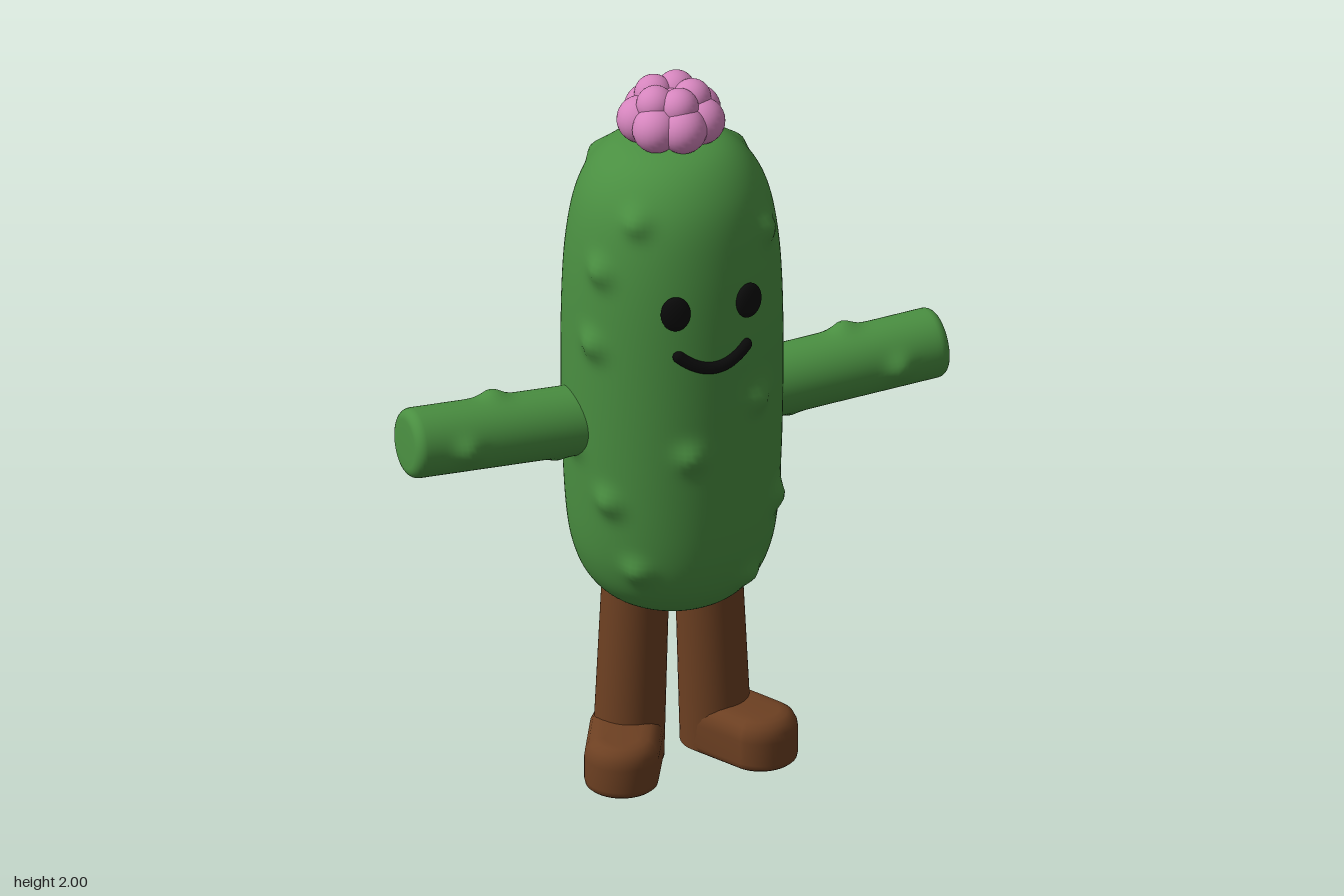
import * as THREE from 'three';
import { mergeVertices } from 'three/addons/utils/BufferGeometryUtils.js';

const material = (name, color) => Object.assign(new THREE.MeshStandardMaterial({ color }), { name });

function mesh(name, geometry, mat, parent) {
  const m = new THREE.Mesh(geometry, mat);
  m.name = name;
  parent.add(m);
  return m;
}

// Turned shape with smooth round bumps; each bump is [degrees from +z, y]
function bumpyLathe(profile, segments, bumps, height, sigma) {
  const geo0 = new THREE.LatheGeometry(profile, segments);
  geo0.deleteAttribute('uv');
  geo0.deleteAttribute('normal');
  const geo = mergeVertices(geo0, 1e-5);
  const centres = bumps.map(([deg, y]) => {
    const a = THREE.MathUtils.degToRad(deg);
    const r = profile.reduce((best, p) => (Math.abs(p.y - y) < Math.abs(best.y - y) ? p : best)).x;
    return new THREE.Vector3(r * Math.sin(a), y, r * Math.cos(a));
  });
  const pos = geo.attributes.position;
  const v = new THREE.Vector3();
  for (let i = 0; i < pos.count; i++) {
    v.fromBufferAttribute(pos, i);
    const r = Math.hypot(v.x, v.z);
    if (r < 1e-4) continue;
    let push = 0;
    for (const c of centres) push += height * Math.exp(-v.distanceToSquared(c) / (2 * sigma * sigma));
    pos.setXYZ(i, v.x * (1 + push / r), v.y, v.z * (1 + push / r));
  }
  geo.computeVertexNormals();
  return geo;
}

const toPoints = (list) => list.map(([x, y]) => new THREE.Vector2(x, y));

export function createModel() {
  const green = material('cactusGreen', 0x4a8f41);
  const brown = material('legBrown', 0x6d4022);
  const pink = material('flowerPink', 0xd585bd);
  const black = material('faceBlack', 0x0a0a0a);
  const model = new THREE.Group();
  model.name = 'cactusFigure';

  // Body
  const outline = new THREE.SplineCurve(toPoints([
    [0, 0.47], [0.09, 0.475], [0.17, 0.5], [0.225, 0.55], [0.26, 0.62], [0.28, 0.72], [0.291, 0.9],
    [0.296, 1.15], [0.293, 1.4], [0.281, 1.56], [0.257, 1.68], [0.217, 1.76], [0.16, 1.815],
    [0.09, 1.84], [0, 1.845],
  ])).getSpacedPoints(110);
  outline[0].x = outline[110].x = 0;
  const bodyBumps = [
    [-45, 1.7], [-65, 1.54], [-68, 1.32], [45, 1.62], [110, 1.75], [95, 1.22], [28, 1.15], [-12, 1.02],
    [-58, 0.86], [-42, 0.66], [30, 0.6], [52, 0.8], [125, 1.4], [205, 1.55], [205, 1.3], [172, 1.1],
    [163, 0.93], [232, 0.97], [208, 0.77], [230, 0.58], [135, 1.55], [150, 0.78], [175, 1.44],
    [215, 1.74], [-85, 1.0],
  ];
  mesh('body', bumpyLathe(outline, 112, bodyBumps, 0.024, 0.027), green, model);

  // Eyes
  for (const s of [-1, 1]) {
    const eye = mesh('eye', new THREE.SphereGeometry(1, 32, 20), black, model);
    eye.scale.set(0.04, 0.05, 0.022);
    eye.position.set(s * 0.105, 1.46, 0.279);
    eye.rotation.y = s * 0.3;
  }

  // Smile, following the curve of the body
  const smile = [];
  for (let i = -6; i <= 6; i++) {
    const x = (i / 6) * 0.096;
    smile.push(new THREE.Vector3(x, 1.288 + 0.042 * (i / 6) ** 2, Math.sqrt(0.296 ** 2 - x * x)));
  }
  mesh('mouth', new THREE.TubeGeometry(new THREE.CatmullRomCurve3(smile), 40, 0.017, 12), black, model);
  for (const end of [smile[0], smile[12]]) {
    mesh('mouthEnd', new THREE.SphereGeometry(0.017, 14, 10), black, model).position.copy(end);
  }

  // Flower: a ring of petals, a smaller upper ring and a core
  const flower = new THREE.Group();
  flower.name = 'flower';
  model.add(flower);
  const petalRing = (name, count, ring, radius, y) => {
    for (let i = 0; i < count; i++) {
      const a = (i / count) * Math.PI * 2;
      mesh(name, new THREE.SphereGeometry(radius, 24, 16), pink, flower)
        .position.set(ring * Math.sin(a), y, ring * Math.cos(a) - 0.005);
    }
  };
  petalRing('lowerPetal', 7, 0.083, 0.064, 1.894);
  petalRing('upperPetal', 5, 0.055, 0.052, 1.948);
  mesh('flowerCore', new THREE.SphereGeometry(0.085, 24, 16), pink, flower).position.y = 1.89;

  // Arm profile with a rounded tip, running along y before it is turned sideways
  const armProfile = [];
  for (let i = 0; i <= 40; i++) armProfile.push(new THREE.Vector2(0.095, (i / 40) * 0.54));
  for (let i = 1; i <= 6; i++) {
    const a = (i / 6) * Math.PI / 2;
    armProfile.push(new THREE.Vector2(0.067 + 0.028 * Math.cos(a), 0.54 + 0.028 * Math.sin(a)));
  }
  armProfile.push(new THREE.Vector2(0.045, 0.569), new THREE.Vector2(0, 0.569));
  const armGeo = bumpyLathe(armProfile, 48, [[-107, 0.31], [0, 0.42], [95, 0.13]], 0.02, 0.024);

  // Foot: a turned dome stretched forwards into a long rounded shoe
  const footGeo0 = new THREE.LatheGeometry(toPoints([
    [0, 0], [0.09, 0], [0.097, 0.006], [0.1, 0.02], [0.1, 0.085], [0.097, 0.106], [0.088, 0.124],
    [0.072, 0.136], [0.05, 0.141], [0, 0.142],
  ]), 48);
  footGeo0.deleteAttribute('uv');
  footGeo0.deleteAttribute('normal');
  const footGeo = mergeVertices(footGeo0, 1e-5);
  const fp = footGeo.attributes.position;
  for (let i = 0; i < fp.count; i++) if (fp.getZ(i) > 1e-4) fp.setZ(i, fp.getZ(i) + 0.15);
  footGeo.computeVertexNormals();

  // Arms, legs and feet, mirrored across x
  for (const [side, s] of [['left', 1], ['right', -1]]) {
    const limbs = new THREE.Group();
    limbs.name = side + 'Limbs';
    limbs.scale.x = s;
    model.add(limbs);

    const arm = mesh(side + 'Arm', armGeo, green, limbs);
    arm.position.set(0.2, 1.038, 0);
    arm.rotation.z = -Math.PI / 2 + 0.052;

    const leg = mesh(side + 'Leg', new THREE.CylinderGeometry(0.09, 0.096, 0.53, 40), brown, limbs);
    leg.position.set(0.115, 0.275, 0);
    leg.rotation.z = 0.04;

    const foot = mesh(side + 'Foot', footGeo, brown, limbs);
    foot.position.set(0.13, 0, 0);
    foot.rotation.y = 0.48;
  }
  return model;
}
